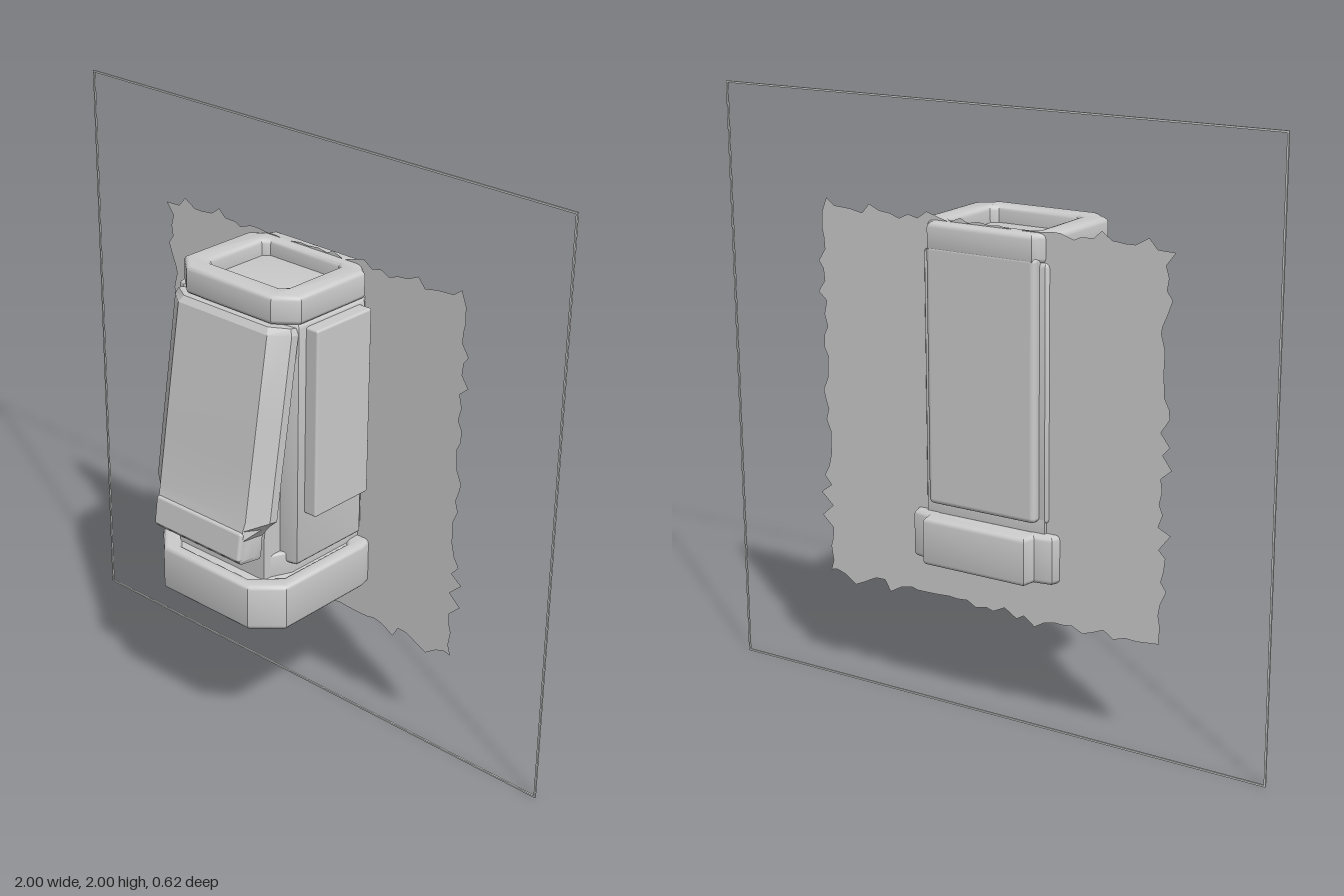
import * as THREE from 'three';
import { toCreasedNormals } from 'three/addons/utils/BufferGeometryUtils.js';
import { RoundedBoxGeometry } from 'three/addons/geometries/RoundedBoxGeometry.js';

const grey = new THREE.MeshStandardMaterial({ color: 0xcccccc });
const greyTwoSided = new THREE.MeshStandardMaterial({ color: 0xcccccc, side: THREE.DoubleSide });
const V = (x, y) => new THREE.Vector2(x, y);

// Mirrors the +x half of a plan (x, z) into a closed outline
function outline(half) {
  const right = half.map(([x, z]) => V(x, -z));
  const left = half.map(([x, z]) => V(-x, -z)).reverse();
  return [...right, ...left];
}

// Upright prism with rounded edges, from a half plan and optional hole
function prism(half, y0, y1, bevel, hole) {
  const shape = new THREE.Shape(outline(half));
  if (hole) shape.holes.push(new THREE.Path(outline(hole)));
  const geo = new THREE.ExtrudeGeometry(shape, {
    depth: y1 - y0 - 2 * bevel, bevelEnabled: true, bevelSize: bevel,
    bevelThickness: bevel, bevelOffset: -bevel, bevelSegments: 3,
  });
  geo.rotateX(-Math.PI / 2).translate(0, y0 + bevel, 0);
  return toCreasedNormals(geo, 0.6);
}

// Closed skin through equal-length rings of [x, y, z] points
function loft(rings) {
  const n = rings[0].length, index = [];
  for (let r = 0; r < rings.length - 1; r++) {
    for (let i = 0; i < n; i++) {
      const a = r * n + i, b = r * n + (i + 1) % n;
      index.push(a, b, b + n, a, b + n, a + n);
    }
  }
  const last = (rings.length - 1) * n;
  for (let i = 1; i < n - 1; i++) {
    index.push(0, i + 1, i, last, last + i, last + i + 1);
  }
  const geo = new THREE.BufferGeometry();
  geo.setAttribute('position', new THREE.Float32BufferAttribute(rings.flat(2), 3));
  geo.setIndex(index);
  return toCreasedNormals(geo, 0.4);
}

// Square sheet with a torn edge
function tornSheet() {
  let seed = 7;
  const rand = () => (seed = (seed * 16807) % 2147483647) / 2147483647;
  const corners = [[-1, -1], [1, -1], [1, 1], [-1, 1]];
  const pts = [], half = 0.625, steps = 34;
  corners.forEach(([cx, cy], k) => {
    const [nx, ny] = corners[(k + 1) % 4];
    const out = V((cx + nx) / 2, (cy + ny) / 2);
    for (let i = 0; i < steps; i++) {
      const t = (i + 0.5 * rand()) / steps;
      const spike = rand() < 0.3 ? 0.035 * rand() : 0.018 * rand() - 0.012;
      pts.push(V((cx + (nx - cx) * t) * half + out.x * spike,
        (cy + (ny - cy) * t) * half + out.y * spike));
    }
  });
  return new THREE.ShapeGeometry(new THREE.Shape(pts));
}

export function createModel() {
  const group = new THREE.Group();
  const add = (name, geo, x = 0, y = 0, z = 0, material = grey) => {
    const mesh = new THREE.Mesh(geo, material);
    mesh.name = name;
    mesh.position.set(x, y, z);
    group.add(mesh);
    return mesh;
  };

  // Backdrop sheet and thin square frame
  const sheetZ = -0.218;
  add('tornSheet', tornSheet(), 0, 1.002, sheetZ, greyTwoSided);
  const bar = 0.006;
  for (const s of [-1, 1]) {
    add('frameSide', new THREE.BoxGeometry(bar, 2, bar), s * (1 - bar / 2), 1, sheetZ);
    add('frameRail', new THREE.BoxGeometry(2, bar, bar), 0, 1 + s * (1 - bar / 2), sheetZ);
  }

  // Stepped base with a shallow recess underneath
  const basePlan = [[0.19, 0.275], [0.28, 0.19], [0.28, -0.18], [0.26, -0.25], [0.2, -0.26], [0.19, -0.305]];
  const recess = [[0.15, 0.23], [0.23, 0.15], [0.23, -0.15], [0.17, -0.22]];
  add('baseRing', prism(basePlan, 0.51, 0.67, 0.015, recess));
  add('baseFloor', prism([[0.17, 0.24], [0.24, 0.16], [0.24, -0.16], [0.18, -0.23]], 0.53, 0.662, 0.004));
  add('baseLip', new RoundedBoxGeometry(0.37, 0.06, 0.1, 2, 0.012), 0, 0.52, 0.155);

  // Neck and main column
  add('neck', prism([[0.19, 0.17], [0.22, 0.1], [0.22, -0.23]], 0.64, 0.74, 0.008));
  const columnPlan = [[0.19, 0.125], [0.25, 0.11], [0.25, -0.19], [0.22, -0.23]];
  add('column', prism(columnPlan, 0.7, 1.535, 0.015));
  add('backPanel', new RoundedBoxGeometry(0.4, 0.85, 0.08, 3, 0.018), 0, 1.13, -0.22);

  // Sloping core behind the front flap
  const coreRing = (y, z) => [[-0.19, y, -0.1], [-0.19, y, z], [0.19, y, z], [0.19, y, -0.1]];
  add('core', loft([coreRing(0.64, 0.2), coreRing(0.8, 0.2), coreRing(1.45, 0.11)]));

  // Top rim around a sunken lid
  const rimPlan = [[0.18, 0.16], [0.25, 0.1], [0.25, -0.19], [0.2, -0.23], [0.19, -0.26]];
  const opening = [[0.145, 0.085], [0.165, 0.065], [0.165, -0.165], [0.145, -0.185]];
  add('topRim', prism(rimPlan, 1.53, 1.625, 0.016, opening));
  add('sunkenLid', prism([[0.19, 0.1], [0.19, -0.2]], 1.5, 1.57, 0.005));

  // Leaning front flap: [y, front z, half width, half front width, depth]
  const flap = [
    [0.755, 0.295, 0.19, 0.18, 0.075], [0.77, 0.309, 0.195, 0.187, 0.09],
    [0.84, 0.302, 0.195, 0.187, 0.09], [0.875, 0.293, 0.22, 0.187, 0.085],
    [0.905, 0.284, 0.25, 0.19, 0.08], [1.07, 0.258, 0.25, 0.19, 0.078],
    [1.24, 0.231, 0.25, 0.19, 0.078], [1.51, 0.187, 0.25, 0.19, 0.075],
    [1.53, 0.172, 0.24, 0.18, 0.06],
  ];
  add('frontFlap', loft(flap.map(([y, z, w, f, d]) => [
    [-w, y - 0.005, z - d], [-w, y, z - d * 0.6], [-f, y, z],
    [f, y, z], [w, y, z - d * 0.6], [w, y - 0.005, z - d],
  ])));
  // Lower band across the flap
  const band = add('flapBand', new RoundedBoxGeometry(0.38, 0.1, 0.03, 2, 0.01), 0, 0.82, 0.296);
  band.rotation.x = -0.14;

  // Side boxes
  for (const s of [-1, 1]) {
    add('sideBox', new RoundedBoxGeometry(0.07, 0.64, 0.25, 2, 0.008), s * 0.262, 1.2, -0.048);
  }
  return group;
}
